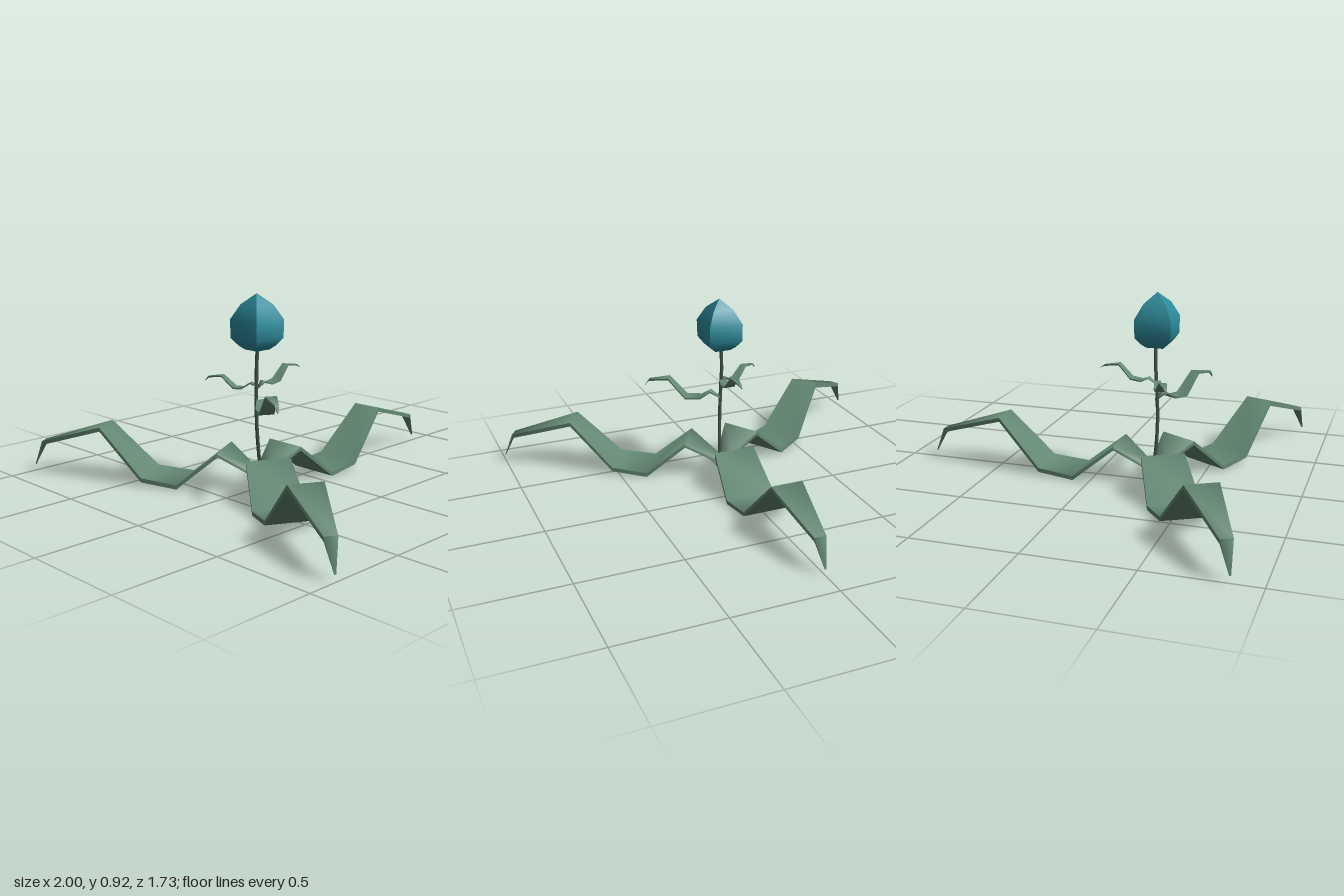
import * as THREE from 'three';
import { toCreasedNormals } from 'three/addons/utils/BufferGeometryUtils.js';

const leafMaterial = new THREE.MeshStandardMaterial({ color: 0x648873 });
const stemMaterial = new THREE.MeshStandardMaterial({ color: 0x42584a });
const budMaterial = new THREE.MeshStandardMaterial({ color: 0x2d8c9c });

// Bent blade along +z from rows of [distance, underside height, half width]
function bladeGeometry(rows, thickness) {
  const positions = [];
  const index = [];
  rows.forEach(([r, y, w], i) => {
    const top = y + (i === rows.length - 1 ? thickness * 0.3 : thickness);
    positions.push(-w, top, r, w, top, r, w, y, r, -w, y, r);
    if (i === 0) return;
    const a = (i - 1) * 4, b = i * 4;
    for (let k = 0; k < 4; k++) {
      const n = (k + 1) % 4;
      index.push(a + k, b + k, b + n, a + k, b + n, a + n);
    }
  });
  const e = (rows.length - 1) * 4;
  index.push(0, 1, 2, 0, 2, 3, e, e + 2, e + 1, e, e + 3, e + 2);
  const geometry = new THREE.BufferGeometry();
  geometry.setAttribute('position', new THREE.Float32BufferAttribute(positions, 3));
  geometry.setIndex(index);
  return toCreasedNormals(geometry, 1.45);
}

function addBlade(group, name, rows, thickness, degrees, z) {
  const mesh = new THREE.Mesh(bladeGeometry(rows, thickness), leafMaterial);
  mesh.name = name;
  mesh.rotation.y = THREE.MathUtils.degToRad(degrees);
  mesh.position.z = z;
  group.add(mesh);
}

export function createModel() {
  const group = new THREE.Group();
  group.name = 'flower';

  // Three large ground leaves
  const groundLeaf = [
    [-0.02, 0.03, 0.02], [0.03, 0.07, 0.045], [0.17, 0.165, 0.105], [0.37, 0, 0.125],
    [0.55, 0.018, 0.115], [0.77, 0.242, 0.078], [1.1, 0.14, 0.028], [1.153, 0.03, 0.004],
  ];
  [['backLeaf', 180], ['leftLeaf', 60], ['rightLeaf', -60]].forEach(([name, angle]) =>
    addBlade(group, name, groundLeaf, 0.02, angle, 0.288));

  // Small leaves on the stem
  addBlade(group, 'leftStemLeaf', [
    [0, 0.4, 0.006], [0.05, 0.43, 0.018], [0.1, 0.398, 0.034], [0.175, 0.396, 0.036],
    [0.262, 0.492, 0.027], [0.365, 0.478, 0.01], [0.386, 0.452, 0.002],
  ], 0.009, 59, 0.295);
  addBlade(group, 'backStemLeaf', [
    [0, 0.48, 0.006], [0.035, 0.505, 0.016], [0.07, 0.49, 0.026], [0.12, 0.498, 0.028],
    [0.18, 0.562, 0.02], [0.255, 0.55, 0.007], [0.275, 0.54, 0.002],
  ], 0.007, 180, 0.295);
  addBlade(group, 'rightStemLeaf', [
    [0, 0.485, 0.005], [0.035, 0.5, 0.015], [0.075, 0.473, 0.024], [0.115, 0.473, 0.025],
    [0.175, 0.525, 0.018], [0.245, 0.515, 0.007], [0.264, 0.497, 0.002],
  ], 0.007, -65, 0.295);

  // Slightly bowed stem
  const stemPath = new THREE.CatmullRomCurve3([
    [0.004, 0.04, 0.285], [0.006, 0.15, 0.296], [0.001, 0.3, 0.304],
    [-0.004, 0.45, 0.3], [-0.008, 0.56, 0.294], [-0.004, 0.68, 0.29],
  ].map((p) => new THREE.Vector3(...p)));
  const stem = new THREE.Mesh(new THREE.TubeGeometry(stemPath, 10, 0.009, 5), stemMaterial);
  stem.name = 'stem';
  group.add(stem);

  // Four-sided closed bud
  const budProfile = [
    [0, 0.66], [0.04, 0.662], [0.06, 0.68], [0.085, 0.715],
    [0.087, 0.8], [0.052, 0.87], [0, 0.92],
  ].map(([w, y]) => new THREE.Vector2(w * Math.SQRT2, y));
  const bud = new THREE.Mesh(
    toCreasedNormals(new THREE.LatheGeometry(budProfile, 4, Math.PI / 4), 0.9), budMaterial);
  bud.name = 'bud';
  bud.position.z = 0.296;
  group.add(bud);

  return group;
}
